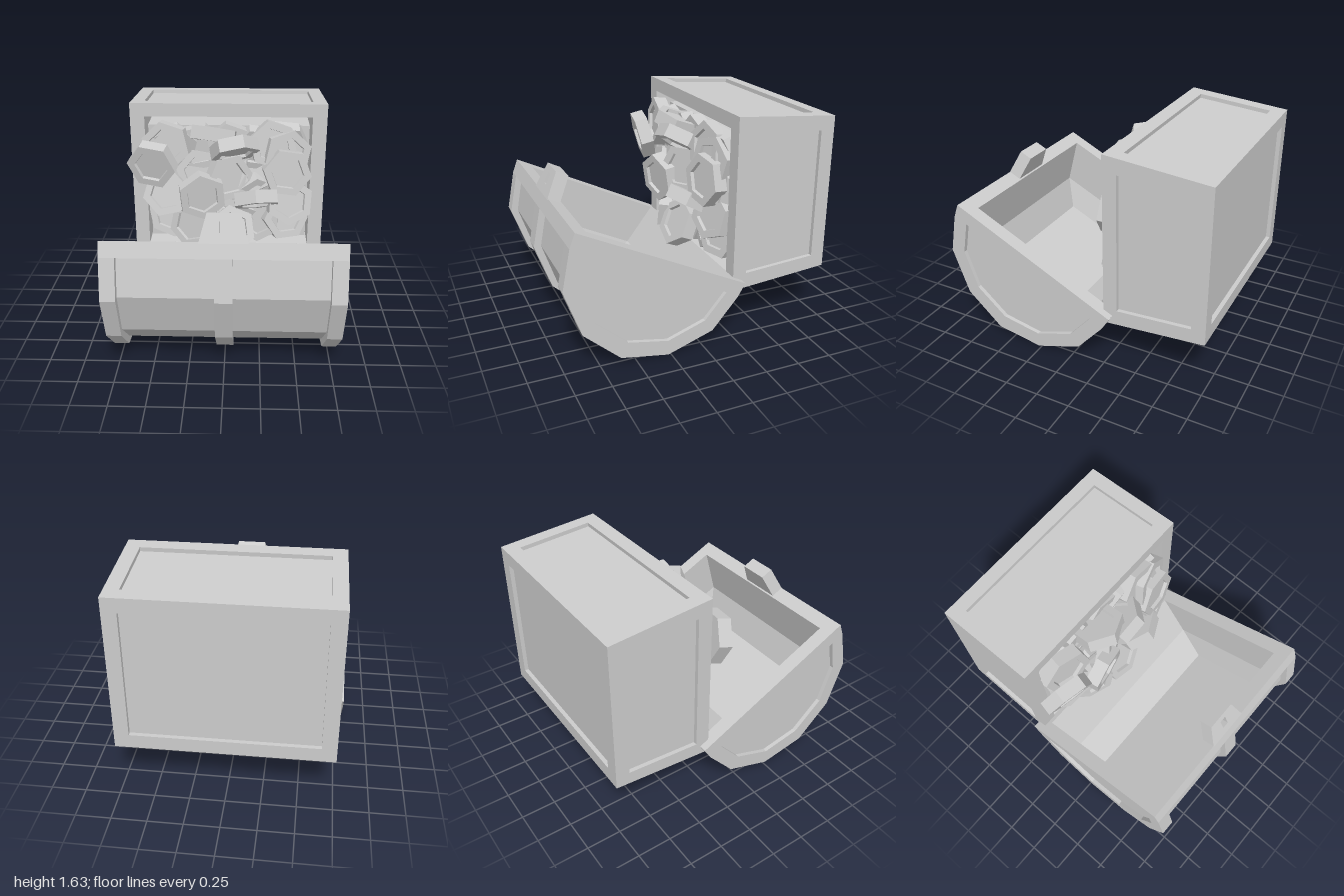
import * as THREE from 'three';

const V = (x, y, z) => new THREE.Vector3(x, y, z);
const material = new THREE.MeshStandardMaterial({ color: 0xcccccc, flatShading: true });

function mesh(name, geometry, parent) {
  const m = new THREE.Mesh(geometry, material);
  m.name = name;
  parent.add(m);
  return m;
}

// Joins rings of equal count (counter-clockwise from outside), capping the last one
function loft(rings, cap = true) {
  const pos = [];
  const tri = (...pts) => pts.forEach((p) => pos.push(p.x, p.y, p.z));
  for (let r = 0; r + 1 < rings.length; r++) {
    const a = rings[r], b = rings[r + 1], n = a.length;
    for (let i = 0; i < n; i++) {
      const j = (i + 1) % n;
      tri(a[i], a[j], b[j]);
      tri(a[i], b[j], b[i]);
    }
  }
  const end = rings[rings.length - 1];
  if (cap) for (let i = 1; i + 1 < end.length; i++) tri(end[0], end[i], end[i + 1]);
  const g = new THREE.BufferGeometry();
  g.setAttribute('position', new THREE.Float32BufferAttribute(pos, 3));
  g.computeVertexNormals();
  return g;
}

// Four corners moved inward by a margin within their own face
function inset(c, margin) {
  const u = margin / c[0].distanceTo(c[1]), v = margin / c[1].distanceTo(c[2]);
  const at = (s, t) => c[0].clone().lerp(c[1], s).lerp(c[3].clone().lerp(c[2], s), t);
  return [at(u, v), at(1 - u, v), at(1 - u, 1 - v), at(u, 1 - v)];
}

// Framed face with a sunken panel
function framedFace(c, margin = 0.103, depth = 0.03) {
  const n = c[1].clone().sub(c[0]).cross(c[2].clone().sub(c[1])).normalize();
  const inner = inset(c, margin);
  return loft([c, inner, inner.map((p) => p.clone().addScaledVector(n, -depth))]);
}

function makeBox() {
  const g = new THREE.Group();
  g.name = 'chestBody';
  const rect = (w, h, z) => [V(-w, 1 - h, z), V(w, 1 - h, z), V(w, 1 + h, z), V(-w, 1 + h, z)];
  const f = rect(0.75, 0.632, -0.25), b = rect(0.75, 0.57, -1);
  mesh('bottomPanel', framedFace([b[1], b[0], b[3], b[2]]), g);
  mesh('leftPanel', framedFace([f[1], b[1], b[2], f[2]]), g);
  mesh('rightPanel', framedFace([b[0], f[0], f[3], b[3]]), g);
  mesh('upperPanel', framedFace([f[3], f[2], b[2], b[3]]), g);
  mesh('lowerPanel', framedFace([b[0], b[1], f[1], f[0]]), g);
  mesh('rimAndInterior', loft([f, rect(0.64, 0.53, -0.25), rect(0.63, 0.47, -0.9)]), g);
  return g;
}

// Lid half-profiles as [along rim, depth], mirrored about the middle
const LENGTH = 1.357;
const mirrored = (half, middle) =>
  [...half, ...(middle ? [middle] : []), ...half.map(([s, d]) => [LENGTH - s, d]).reverse()];
const outer = mirrored([[0, 0], [0.01, 0.11], [0.085, 0.397], [0.34, 0.648]], [LENGTH / 2, 0.745]);
const sunken = mirrored([[0, 0], [0.01, 0.11], [0.06, 0.11], [0.13, 0.37], [0.36, 0.605]], [LENGTH / 2, 0.69]);
const endPanel = mirrored([[0.117, 0.1], [0.118, 0.104], [0.18, 0.339], [0.39, 0.549]], [LENGTH / 2, 0.626]);
const hollow = mirrored([[0.11, 0], [0.175, 0.37], [0.35, 0.56]]);

function makeLid() {
  const g = new THREE.Group();
  g.name = 'lid';
  // Local x runs along the rim, y into the lid, z across its width
  const sDir = V(0, 0.438, 0.899).normalize(), dDir = V(0, -0.899, 0.438).normalize();
  g.quaternion.setFromRotationMatrix(new THREE.Matrix4().makeBasis(sDir, dDir, V(1, 0, 0)));
  g.position.set(0, 0.44, -0.32);

  // Curved shell: two sunken panels and a middle rib
  const band = (name, profile, from, to) => {
    const shape = new THREE.Shape([...profile, ...[...hollow].reverse()].map(([s, d]) => new THREE.Vector2(s, d)));
    mesh(name, new THREE.ExtrudeGeometry(shape, { depth: to - from, bevelEnabled: false }), g).position.z = from;
  };
  band('rightCurvedPanel', sunken, -0.7, -0.06);
  band('middleRib', outer, -0.06, 0.06);
  band('leftCurvedPanel', sunken, 0.06, 0.7);

  // End walls with sunken panels
  for (const side of [-1, 1]) {
    const ring = (profile, x) => {
      const r = profile.map(([s, d]) => V(s, d, side * x));
      return side > 0 ? r.reverse() : r;
    };
    const name = side > 0 ? 'leftEnd' : 'rightEnd';
    mesh(name, loft([ring(outer, 0.7), ring(outer, 0.805), ring(endPanel, 0.805), ring(endPanel, 0.775)]), g);
    mesh(name + 'Inside', loft([ring(outer, 0.7).reverse()]), g);
  }

  // Tapered inside of the lid
  const level = (s, d, w) => [V(s, d, -w), V(LENGTH - s, d, -w), V(LENGTH - s, d, w), V(s, d, w)];
  mesh('lidInterior', loft([level(0.11, 0, 0.7), level(0.185, 0.36, 0.7), level(0.355, 0.55, 0.635)]), g);

  // Clasp with keyhole
  const clasp = (s) => [V(s, 0.01, -0.162), V(s, 0.01, 0.162), V(s, -0.188, 0.11), V(s, -0.188, -0.11)];
  const hole = (s) => [V(s, -0.06, -0.025), V(s, -0.06, 0.025), V(s, -0.14, 0.025), V(s, -0.14, -0.025)];
  mesh('clasp', loft([clasp(1.26), clasp(1.358), hole(1.358), hole(1.31)]), g);
  mesh('claspBack', loft([clasp(1.26).reverse()]), g);
  return g;
}

function makeTreasure() {
  const g = new THREE.Group();
  g.name = 'treasure';
  // Six-sided coin with a sunken face on both sides
  const profile = [[0, -0.025], [0.125, -0.025], [0.13, -0.05], [0.19, -0.05],
    [0.19, 0.05], [0.13, 0.05], [0.125, 0.025], [0, 0.025]];
  const coinGeometry = new THREE.LatheGeometry(profile.map(([x, y]) => new THREE.Vector2(x, y)), 6);
  const coin = (x, y, z, nx, ny, nz, spin = 0) => {
    const c = mesh('coin', coinGeometry, g);
    c.position.set(x, y, z);
    c.quaternion.setFromUnitVectors(V(0, 1, 0), V(nx, ny, nz).normalize());
    c.rotateY(spin);
  };
  // Loose coins spilling forward
  [
    [-0.57, 1.2, -0.1, -0.2, -0.25, 1, 0.2],
    [-0.47, 1.32, -0.2, -0.15, 0.1, 1, 0.1],
    [-0.11, 1.4, -0.21, -0.15, -1, 0.35, 0.3],
    [0.05, 1.31, -0.15, 0.2, -0.9, 0.6, 0.2],
    [0.34, 1.32, -0.24, 0.1, 0.15, 1, 0.3],
    [0.45, 1.25, -0.23, 0.25, 0.1, 1, 0],
    [0.45, 1.12, -0.17, 0.15, 0.1, 1, 0.5],
    [-0.2, 0.95, -0.1, 0.2, -0.1, 1, 0.3],
    [0, 1.06, -0.21, 0.5, 0.1, 1, 0],
    [0.22, 0.9, -0.15, 0.1, -0.9, 0.5, 0.4],
    [0.03, 0.64, -0.16, 0.1, 0.45, 1, 0.2],
    [0.48, 0.86, -0.22, 0.2, 0.2, 1, 0.1],
    [-0.28, 0.67, -0.18, -0.5, 0.1, 1, 0.4],
    [-0.48, 0.92, -0.22, -0.2, 0.3, 1, 0.6],
  ].forEach((c) => coin(...c));
  // Packed coins behind them
  let seed = 7;
  const rnd = () => (seed = (seed * 16807) % 2147483647) / 2147483647 - 0.5;
  for (let i = 0; i < 5; i++)
    for (let j = 0; j < 4; j++)
      coin(-0.44 + i * 0.22 + rnd() * 0.04, 0.68 + j * 0.2 + rnd() * 0.04, -0.32 + rnd() * 0.06,
        rnd() * 0.7, rnd() * 0.7, 1, rnd());
  // Solid heap filling the chest
  mesh('heap', new THREE.BoxGeometry(1.26, 0.94, 0.5), g).position.set(0, 0.96, -0.62);
  return g;
}

export function createModel() {
  const model = new THREE.Group();
  model.name = 'openChest';
  model.add(makeBox(), makeLid(), makeTreasure());
  return model;
}
